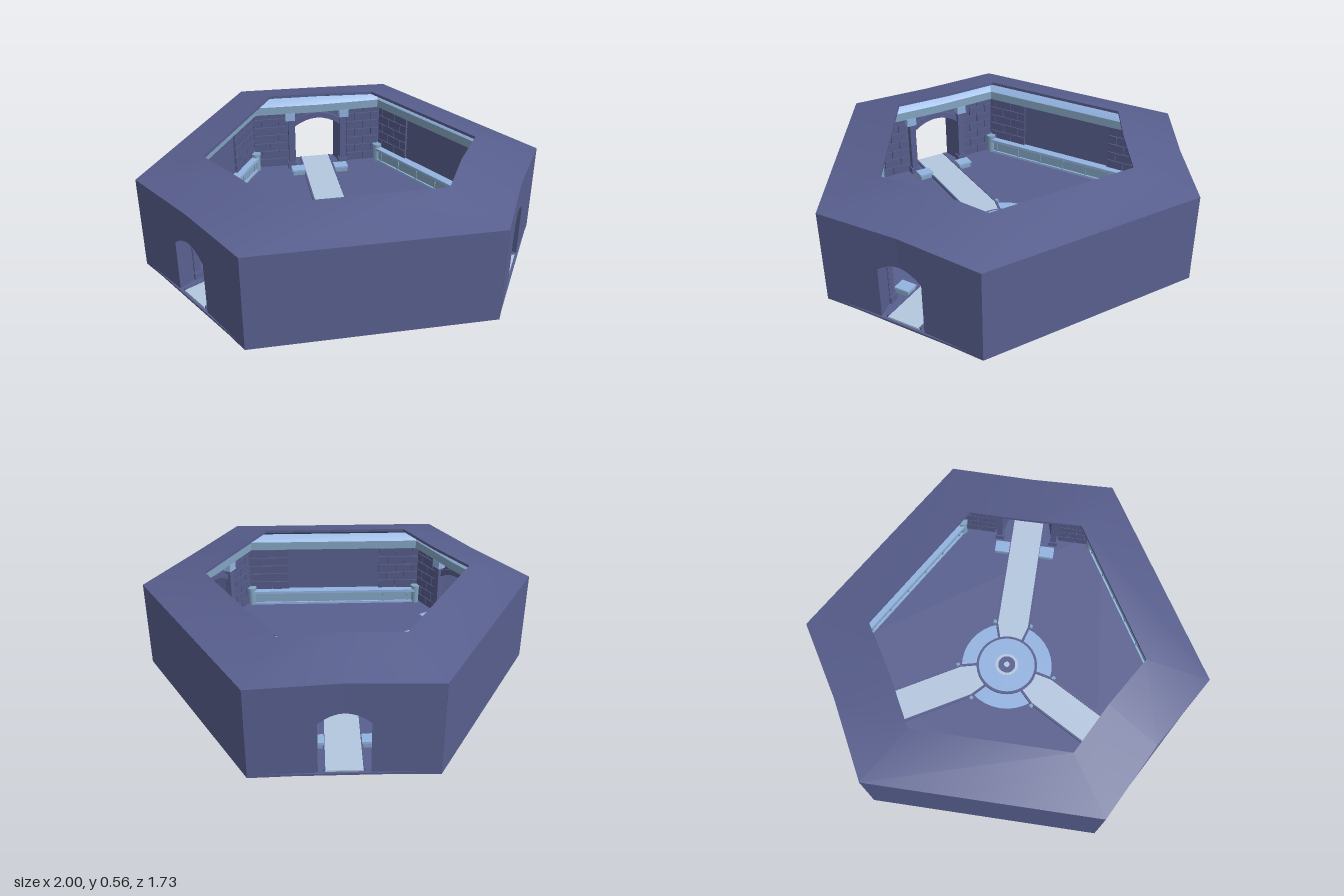
import * as THREE from 'three';
import { toCreasedNormals } from 'three/addons/utils/BufferGeometryUtils.js';

const R = 1.003, HALF = 25.2 * Math.PI / 180, THIRD = Math.PI * 2 / 3;
const LONG = { d: 0.8236, half: 0.572 }, SHORT = { d: 0.9075, half: 0.427 };
const KINK = 0.014, INNER = 0.9, TOP = 0.475, DIP = 0.015;

const material = (name, color) => {
  const m = new THREE.MeshStandardMaterial({ color });
  m.name = name;
  return m;
};

export function createModel() {
  const stone = material('slate stone', 0x585f8e);
  const brickMat = material('dark brick', 0x555c89);
  const blue = material('light blue trim', 0x92b3e0);
  const steel = material('steel blue trim', 0x83a5c2);
  const pale = material('pale path stone', 0xb4c7df);

  const model = new THREE.Group();
  model.name = 'hexagonalCourtyard';
  const hall = new THREE.Group();
  hall.name = 'courtyard';
  hall.position.z = 0.04;
  model.add(hall);

  const add = (parent, name, geometry, mat, x = 0, y = 0, z = 0) => {
    const mesh = new THREE.Mesh(geometry, mat);
    mesh.name = name;
    mesh.position.set(x, y, z);
    parent.add(mesh);
    return mesh;
  };
  const box = (parent, name, mat, w, h, d, x, y, z) =>
    add(parent, name, new THREE.BoxGeometry(w, h, d), mat, x, y, z);

  // Plan outline: six corners, plus a bent midpoint on each doorway side
  const plan = [];
  for (let k = 0; k < 3; k++) {
    [-HALF, 0, HALF].forEach((a, i) => {
      const angle = Math.PI / 3 + a + k * THIRD;
      const r = i === 1 ? SHORT.d - KINK : R;
      const low = (k === 0 && i === 2) || (k === 1 && i === 0);
      plan.push({ x: r * Math.sin(angle), z: r * Math.cos(angle), low });
    });
  }
  const corners = plan.filter((p, i) => i % 3 !== 1);

  // Sweeps a closed [scale, height] profile round the plan
  const ring = (name, profile, mat, dip = 0) => {
    const pos = [];
    const point = (i, j) => {
      const p = plan[i % plan.length], [t, y] = profile[j % profile.length];
      return [p.x * t, y - (p.low ? dip : 0), p.z * t];
    };
    for (let i = 0; i < plan.length; i++) {
      for (let j = 0; j < profile.length; j++) {
        const a = point(i, j), b = point(i + 1, j), c = point(i + 1, j + 1), d = point(i, j + 1);
        pos.push(...a, ...b, ...c, ...a, ...c, ...d);
      }
    }
    const g = new THREE.BufferGeometry();
    g.setAttribute('position', new THREE.Float32BufferAttribute(pos, 3));
    return add(hall, name, toCreasedNormals(g, 0.4), mat);
  };

  // Doorway curve, from left foot to right foot
  const archPoints = (w, spring, peak) => {
    const curve = new THREE.QuadraticBezierCurve(
      new THREE.Vector2(-w, spring), new THREE.Vector2(0, 2 * peak - spring), new THREE.Vector2(w, spring));
    return [new THREE.Vector2(-w, 0), ...curve.getPoints(8), new THREE.Vector2(w, 0)];
  };

  // Wall slab with mitred ends and splayed door jambs, set in the frame of its side
  const wall = (side, { d, half }, lowLeft, lowRight, door) => {
    const pts = [new THREE.Vector2(-half, 0)];
    if (door) pts.push(...archPoints(0.117, 0.275, 0.325));
    pts.push(new THREE.Vector2(half, 0), new THREE.Vector2(half, TOP - (lowRight ? DIP : 0)));
    if (door) pts.push(new THREE.Vector2(0, TOP));
    pts.push(new THREE.Vector2(-half, TOP - (lowLeft ? DIP : 0)));
    const thick = d * (1 - INNER);
    const g = new THREE.ExtrudeGeometry(new THREE.Shape(pts), { depth: thick, bevelEnabled: false });
    const p = g.attributes.position;
    for (let i = 0; i < p.count; i++) {
      const x = p.getX(i), z = p.getZ(i);
      const bend = door ? KINK * (1 - Math.abs(x) / half) : 0;
      if (z < thick / 2) p.setX(i, x * (Math.abs(x) > 0.2 ? INNER : 1.2));
      p.setZ(i, z + d - thick - bend);
    }
    g.computeVertexNormals();
    add(side, 'wall', g, stone);
  };

  // Staggered bricks on both ends of a wall
  const bricks = (side, from, to, y0, z) => {
    const rowH = 0.052, len = 0.1;
    for (let row = 0; y0 + (row + 1) * rowH <= 0.39; row++) {
      for (const s of [-1, 1]) {
        for (let a = from - (row % 2) * len / 2; a < to - 0.01; a += len) {
          const l = Math.max(a, from), r = Math.min(a + len, to);
          box(side, 'brick', brickMat, r - l - 0.004, rowH - 0.004, 0.024,
            s * (l + r) / 2, y0 + (row + 0.5) * rowH, z);
        }
      }
    }
  };

  const makeSide = (name, angle) => {
    const g = new THREE.Group();
    g.name = name;
    g.rotation.y = angle;
    hall.add(g);
    return g;
  };

  // Path outline, narrowing where it meets the centrepiece
  const pathShape = new THREE.Shape([[-0.058, -0.14], [-0.085, -0.23], [-0.085, -0.894],
    [0.085, -0.894], [0.085, -0.23], [0.058, -0.14]].map(([x, y]) => new THREE.Vector2(x, y)).reverse());
  const pathGeometry = new THREE.ExtrudeGeometry(pathShape, { depth: 0.012, bevelEnabled: false });
  pathGeometry.rotateX(-Math.PI / 2);

  for (let k = 0; k < 3; k++) {
    // Plain long side with a low panelled bench
    const long = makeSide('longSide', k * THIRD);
    wall(long, LONG, k === 1, k === 1, false);
    const zl = LONG.d * INNER;
    bricks(long, 0.27, 0.505, 0.1, zl);
    box(long, 'bench', steel, 0.98, 0.075, 0.035, 0, 0.05, zl - 0.017);
    box(long, 'benchTop', blue, 0.98, 0.015, 0.05, 0, 0.095, zl - 0.025);
    box(long, 'benchFoot', blue, 0.98, 0.014, 0.045, 0, 0.02, zl - 0.022);
    for (let i = -3; i <= 3; i++) box(long, 'benchRib', steel, 0.01, 0.065, 0.04, i * 0.15, 0.055, zl - 0.02);

    // Doorway side with frame, pillars and path
    const short = makeSide('doorSide', Math.PI / 3 + k * THIRD);
    wall(short, SHORT, k === 1, k === 0, true);
    const zs = SHORT.d * INNER - KINK / 2;
    bricks(short, 0.18, 0.375, 0.02, zs);
    const frame = new THREE.Shape([...archPoints(0.168, 0.29, 0.36), ...archPoints(0.138, 0.275, 0.327).reverse()]);
    add(short, 'doorFrame', new THREE.ExtrudeGeometry(frame, { depth: 0.02, bevelEnabled: false }), stone, 0, 0, zs - 0.025);
    for (const s of [-1, 1]) {
      box(short, 'pillar', stone, 0.034, 0.31, 0.034, s * 0.154, 0.17, zs - 0.025);
      box(short, 'pillarBase', stone, 0.05, 0.04, 0.046, s * 0.154, 0.03, zs - 0.025);
      box(short, 'pillarCap', blue, 0.055, 0.045, 0.045, s * 0.16, 0.35, zs - 0.025);
      box(short, 'pathEdge', stone, 0.01, 0.016, 0.665, s * 0.089, 0.018, 0.5575);
      box(short, 'pathEdgeEnd', stone, 0.012, 0.02, 0.1, s * 0.075, 0.018, 0.187).rotation.y = s * 0.29;
      box(short, 'stepStone', steel, 0.072, 0.037, 0.058, s * 0.127, 0.0205, 0.7);
      box(short, 'stepStoneTop', blue, 0.08, 0.01, 0.066, s * 0.127, 0.044, 0.7);
      box(short, 'ringStud', steel, 0.018, 0.012, 0.018, s * 0.1, 0.02, 0.245);
    }
    add(short, 'path', pathGeometry, pale, 0, 0.01, 0);
  }

  // Sloping roof ring and the cornice beneath it
  ring('roof', [[0.985, 0.45], [1, TOP], [0.676, 0.555], [0.676, 0.54], [0.9, 0.455]], stone, DIP);
  ring('corniceTop', [[0.9, 0.424], [0.9, 0.46], [0.845, 0.429], [0.84, 0.424]], blue);
  ring('corniceBand', [[0.9, 0.375], [0.9, 0.424], [0.845, 0.424], [0.845, 0.375]], steel);

  // Floor slab, straight-sided below the bent door walls
  const floorShape = new THREE.Shape(corners.map(p => new THREE.Vector2(p.x * 0.998, -p.z * 0.998)));
  const floor = new THREE.ExtrudeGeometry(floorShape, { depth: 0.01, bevelEnabled: false });
  floor.rotateX(-Math.PI / 2);
  add(hall, 'floor', floor, stone, 0, 0.004, 0);

  // Corner posts
  for (const p of corners) {
    add(hall, 'cornerPost', new THREE.CylinderGeometry(0.024, 0.024, 0.1, 8), steel, p.x * 0.865, 0.06, p.z * 0.865);
    add(hall, 'cornerPostCap', new THREE.CylinderGeometry(0.028, 0.028, 0.015, 8), steel, p.x * 0.865, 0.117, p.z * 0.865);
  }

  // Round centrepiece, as stacked discs
  const discs = [
    ['outerDisc', 0.245, 0.019, blue], ['darkRing', 0.165, 0.029, stone], ['innerDisc', 0.152, 0.031, blue],
    ['paleRing', 0.062, 0.033, pale], ['hubRing', 0.046, 0.036, stone], ['hub', 0.015, 0.038, pale],
  ];
  for (const [name, r, top, mat] of discs) {
    add(hall, name, new THREE.CylinderGeometry(r, r, top - 0.008, 36), mat, 0, (top + 0.008) / 2, 0);
  }
  return model;
}
